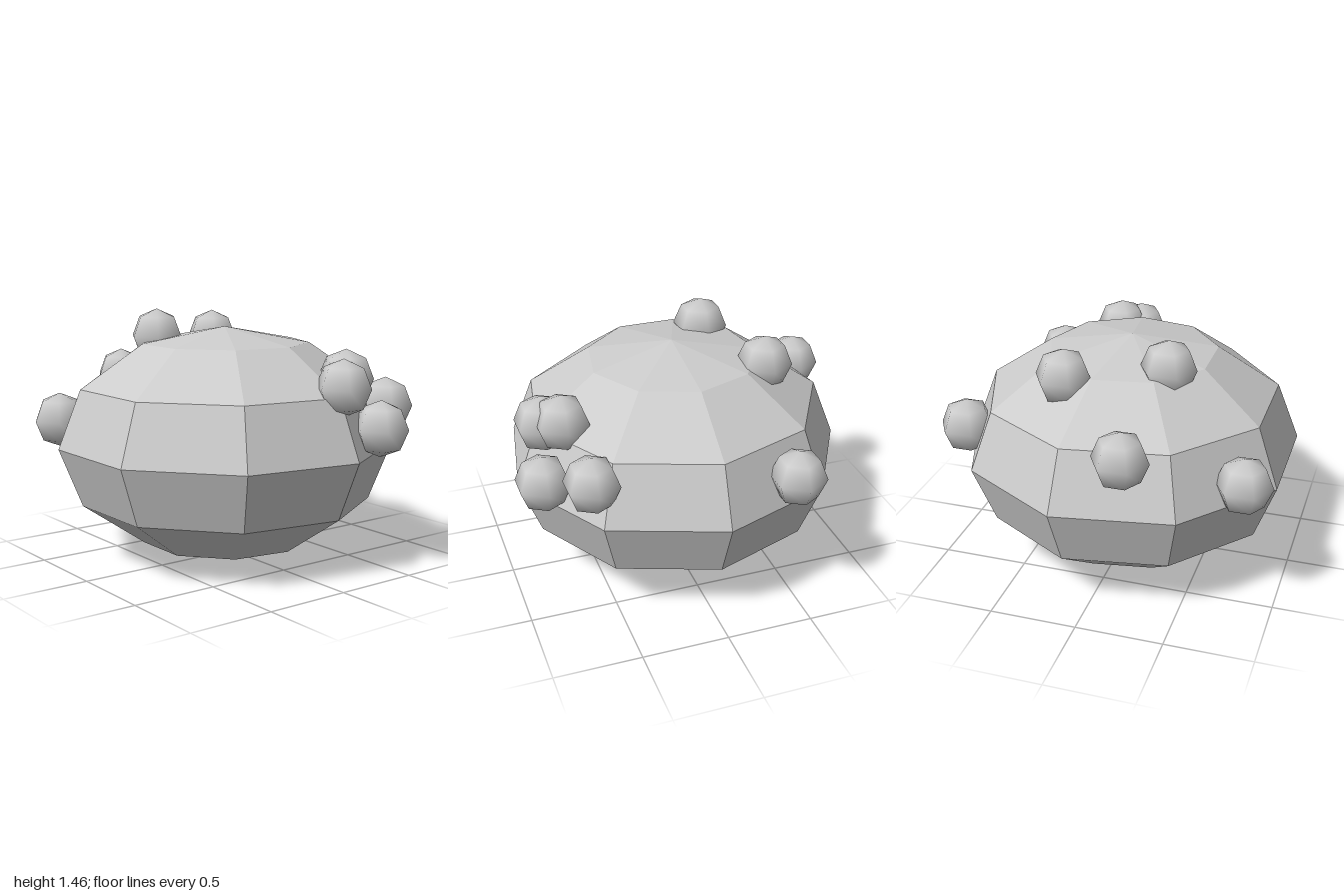
import * as THREE from 'three';

const BODY_R = 0.99;
const BODY_H = 0.68;
const LUMP_R = 0.16;

// Lump centres on the upper half of the body
const LUMPS = [
  [-0.45, 0.86, -0.83],
  [0.65, 0.92, -0.63],
  [0.86, 0.83, -0.39],
  [0.71, 1.11, -0.26],
  [0.80, 1.07, -0.16],
  [-0.49, 1.26, -0.22],
  [-0.87, 1.01, 0.22],
  [-0.30, 1.30, 0.32],
  [-0.59, 0.81, 0.82],
];

export function createModel() {
  const model = new THREE.Group();
  model.name = 'lumpyBoulder';

  // Faceted, flattened nine-sided body with one corner towards the back
  const bodyGeo = new THREE.SphereGeometry(1, 9, 6);
  bodyGeo.rotateY(-Math.PI / 2);
  bodyGeo.scale(BODY_R, BODY_H, BODY_R);
  const body = new THREE.Mesh(
    bodyGeo,
    new THREE.MeshStandardMaterial({ color: 0xcccccc, flatShading: true })
  );
  body.name = 'body';
  body.position.set(-0.02, BODY_H, 0.03);
  model.add(body);

  // Small smooth-shaded six-sided lumps
  const lumpGeo = new THREE.SphereGeometry(LUMP_R, 6, 4);
  lumpGeo.rotateY(-Math.PI / 2);
  const lumpMat = new THREE.MeshStandardMaterial({ color: 0xcccccc });
  const lumps = new THREE.Group();
  lumps.name = 'lumps';
  LUMPS.forEach((p, i) => {
    const lump = new THREE.Mesh(lumpGeo, lumpMat);
    lump.name = `lump${i + 1}`;
    lump.position.set(...p);
    lumps.add(lump);
  });
  model.add(lumps);

  return model;
}
